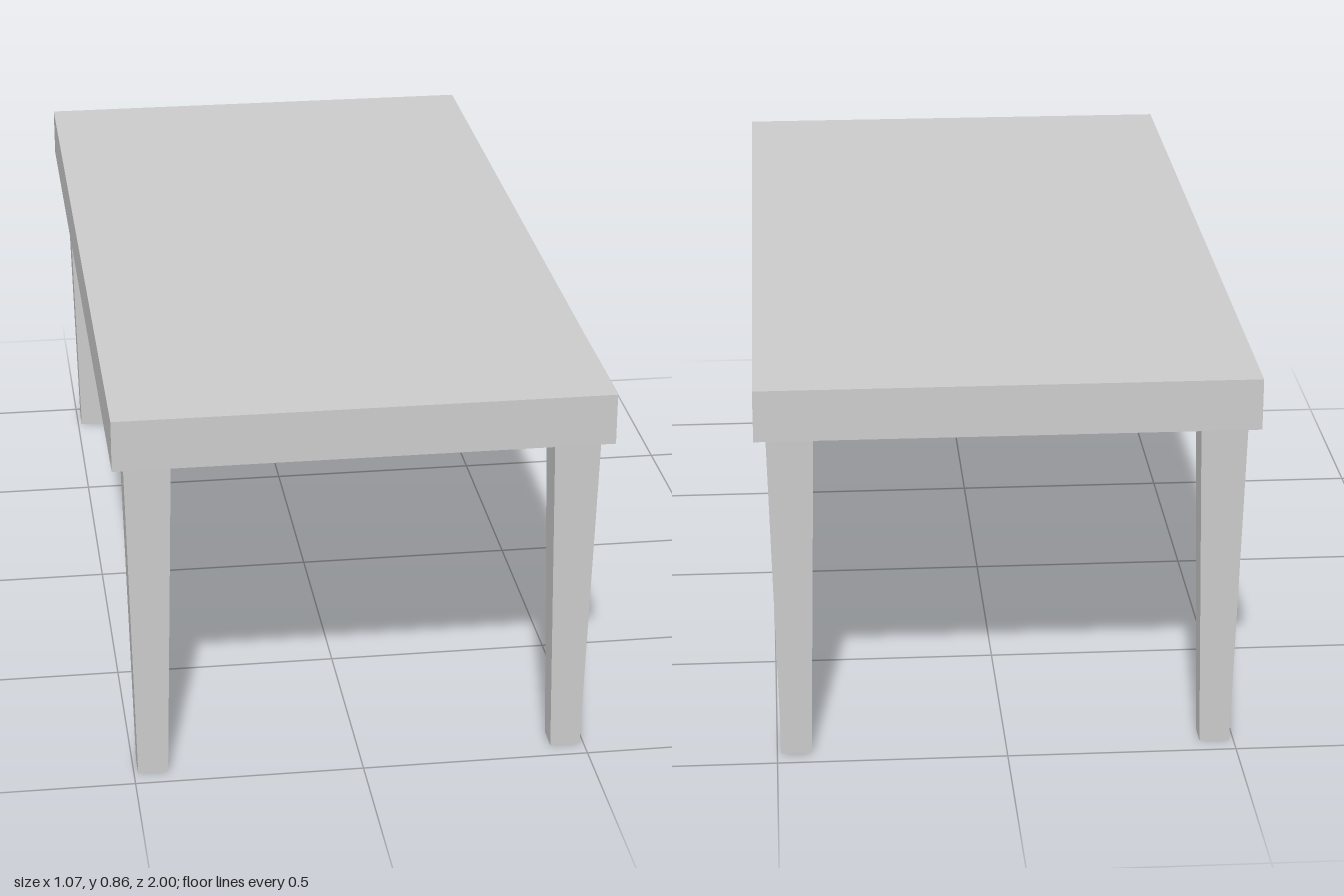
import * as THREE from 'three';

const TOP_W = 1.066, TOP_L = 2, LEG_H = 0.75, TOP_H = 0.113;

// Box leg narrowing evenly towards the foot
function taperedLeg(width, depth, height, footScale) {
  const geometry = new THREE.BoxGeometry(width, height, depth);
  const pos = geometry.attributes.position;
  for (let i = 0; i < pos.count; i++) {
    if (pos.getY(i) < 0) {
      pos.setX(i, pos.getX(i) * footScale);
      pos.setZ(i, pos.getZ(i) * footScale);
    }
  }
  geometry.translate(0, height / 2, 0);
  geometry.computeVertexNormals();
  return geometry;
}

export function createModel() {
  const model = new THREE.Group();
  model.name = 'table';
  const material = new THREE.MeshStandardMaterial({ color: 0xcccccc, flatShading: true });

  // Table top slab
  const top = new THREE.Mesh(new THREE.BoxGeometry(TOP_W, TOP_H, TOP_L), material);
  top.name = 'tableTop';
  top.position.y = LEG_H + TOP_H / 2;
  model.add(top);

  // Four legs, one near each corner
  const legGeometry = taperedLeg(0.1, 0.09, LEG_H, 0.655);
  for (const [zName, z] of [['front', 1], ['back', -1]]) {
    for (const [xName, x] of [['Left', 1], ['Right', -1]]) {
      const leg = new THREE.Mesh(legGeometry, material);
      leg.name = `${zName}${xName}Leg`;
      leg.position.set(x * 0.458, 0, z * 0.928);
      model.add(leg);
    }
  }
  return model;
}
